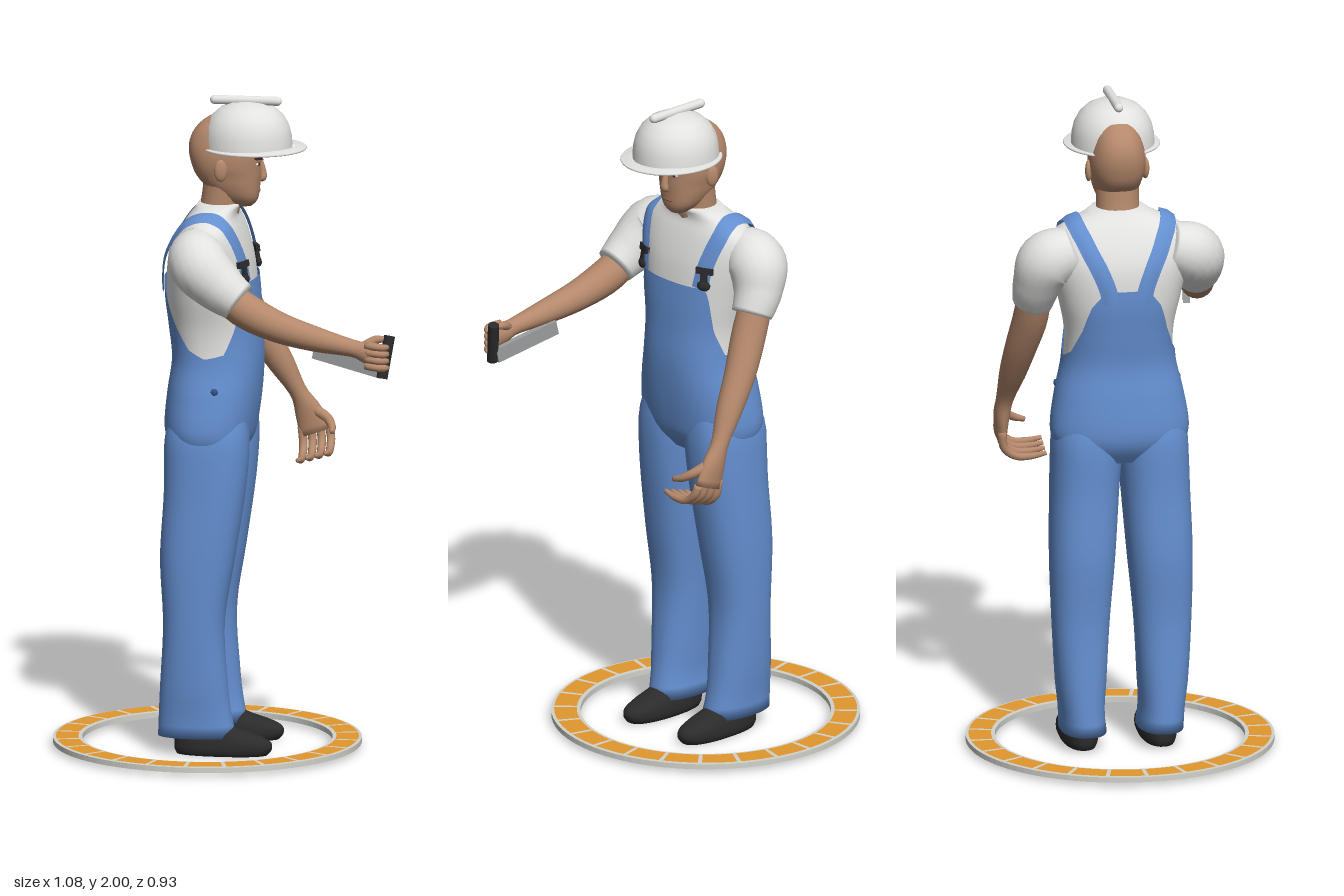
import * as THREE from 'three';

const V = (x, y, z) => new THREE.Vector3(x, y, z);
const material = (name, color, side = THREE.FrontSide) => {
  const m = new THREE.MeshStandardMaterial({ color, side });
  m.name = name;
  return m;
};

// Surface from f(u, v); u runs around (closed) or across (open), caps close both ends.
function grid(f, nu, nv, closed = true, caps = false) {
  const rows = [];
  const cols = closed ? nu : nu + 1;
  for (let j = 0; j <= nv; j++) {
    const row = [];
    for (let i = 0; i < cols; i++) row.push(f(i / nu, j / nv));
    rows.push(row);
  }
  if (caps) {
    const hub = (row) => {
      const c = row.reduce((s, p) => s.add(p), V(0, 0, 0)).divideScalar(cols);
      return row.map(() => c);
    };
    rows.unshift(hub(rows[0]));
    rows.push(hub(rows[rows.length - 1]));
  }
  const index = [];
  for (let j = 0; j < rows.length - 1; j++) {
    for (let i = 0; i < nu; i++) {
      const k = (i + 1) % cols;
      const a = j * cols + i, b = j * cols + k, c = a + cols, d = b + cols;
      index.push(a, c, b, b, c, d);
    }
  }
  const g = new THREE.BufferGeometry().setFromPoints(rows.flat());
  g.setIndex(index);
  g.computeVertexNormals();
  return g;
}

// Smooth lookup in a table whose first column is the key.
function lookup(rows, y) {
  let i = 0;
  while (i < rows.length - 2 && y > rows[i + 1][0]) i++;
  const slope = (k, n) => {
    const a = rows[Math.max(k - 1, 0)], b = rows[Math.min(k + 1, rows.length - 1)];
    return (b[n] - a[n]) / (b[0] - a[0]);
  };
  const p = rows[i], q = rows[i + 1], h = q[0] - p[0];
  const t = THREE.MathUtils.clamp((y - p[0]) / h, 0, 1), t2 = t * t, t3 = t2 * t;
  return p.slice(1).map((v, n) => (2 * t3 - 3 * t2 + 1) * v + (3 * t2 - 2 * t3) * q[n + 1]
    + h * ((t3 - 2 * t2 + t) * slope(i, n + 1) + (t3 - t2) * slope(i + 1, n + 1)));
}

// Point on a body of horizontal sections [y, back, front, zMin, zMax].
function onBody(rings, y, angle, grow = 0, power = 2.3) {
  const [x0, x1, z0, z1] = lookup(rings, y);
  const bend = (c) => Math.sign(c) * Math.abs(c) ** (2 / power);
  return V((x0 + x1) / 2 + ((x1 - x0) / 2 + grow) * bend(Math.cos(angle)), y,
    (z0 + z1) / 2 + ((z1 - z0) / 2 + grow) * bend(Math.sin(angle)));
}
function loft(rings, lo = rings[0][0], hi = rings[rings.length - 1][0], nv = 28) {
  return grid((u, v) => onBody(rings, lo + (hi - lo) * v, u * Math.PI * 2), 40, nv, true, true);
}

// Tapered limb through points [x, y, z, radius, secondRadius].
function limb(points, ref = V(1, 0, 0), nu = 20, nv = 20) {
  const path = new THREE.CatmullRomCurve3(points.map((p) => V(p[0], p[1], p[2])));
  const radii = new THREE.CatmullRomCurve3(points.map((p) => V(p[3], p[4] ?? p[3], 0)), false, 'catmullrom');
  return grid((u, v) => {
    const t = path.getTangent(v), r = radii.getPoint(v), a = u * Math.PI * 2;
    const side = t.clone().cross(ref).normalize(), up = side.clone().cross(t);
    return path.getPoint(v).addScaledVector(side, r.x * Math.cos(a)).addScaledVector(up, r.y * Math.sin(a));
  }, nu, nv, true, true);
}

const sym = (rows) => rows.map(([y, a, b, w]) => [y, a, b, -w, w]);
const TORSO = sym([[0.9, -0.15, 0.02, 0.165], [0.95, -0.183, 0.055, 0.194], [1.0, -0.193, 0.068, 0.203], [1.1, -0.185, 0.082, 0.188],
  [1.2, -0.172, 0.088, 0.166], [1.3, -0.182, 0.083, 0.165], [1.4, -0.193, 0.077, 0.185], [1.5, -0.19, 0.064, 0.207],
  [1.56, -0.172, 0.048, 0.215], [1.61, -0.145, 0.03, 0.198], [1.64, -0.125, 0.018, 0.15],
  [1.665, -0.105, 0.025, 0.092], [1.675, -0.1, 0.03, 0.08]]);
const HEAD = sym([[1.665, 0, 0.062, 0.025], [1.68, -0.03, 0.076, 0.044], [1.7, -0.05, 0.082, 0.058],
  [1.73, -0.085, 0.085, 0.07], [1.76, -0.11, 0.088, 0.077], [1.79, -0.122, 0.089, 0.084], [1.83, -0.13, 0.094, 0.085],
  [1.87, -0.126, 0.09, 0.077], [1.905, -0.106, 0.07, 0.064], [1.935, -0.07, 0.04, 0.04], [1.945, -0.04, 0.01, 0.02]]);
const LEG = [[0.055, -0.207, 0.03, 0.048, 0.187], [0.12, -0.204, 0.016, 0.055, 0.19], [0.2, -0.2, 0.006, 0.05, 0.2],
  [0.4, -0.19, -0.005, 0.038, 0.212], [0.6, -0.2, 0.025, 0.02, 0.217], [0.8, -0.19, 0.055, 0.005, 0.212],
  [0.92, -0.19, 0.066, -0.004, 0.208], [0.98, -0.187, 0.066, -0.004, 0.203], [1.06, -0.165, 0.058, 0.005, 0.175]];
const SHOE = [[0, -0.15, 0.125, 0.07, 0.17], [0.015, -0.157, 0.138, 0.064, 0.176], [0.04, -0.157, 0.134, 0.065, 0.175],
  [0.06, -0.155, 0.092, 0.07, 0.17], [0.08, -0.15, 0.03, 0.075, 0.165], [0.12, -0.15, -0.01, 0.08, 0.16]];
// Upper edge of the overalls by angle from the chest, in degrees.
const EDGE = [[0, 1.45], [38, 1.45], [44, 1.42], [58, 1.31], [75, 1.235], [95, 1.22], [115, 1.245],
  [135, 1.32], [150, 1.4], [165, 1.45], [180, 1.45]];
// Strap centre line as [height, angle].
const STRAP = [[1.45, 33], [1.53, 35], [1.59, 42], [1.625, 56], [1.643, 85], [1.637, 118], [1.61, 143], [1.55, 156], [1.47, 165], [1.41, 168]];

export function createModel() {
  const model = new THREE.Group();
  const skin = material('skin', 0xb4886b), white = material('white', 0xe2e3e1, THREE.DoubleSide);
  const denim = material('overall blue', 0x648fd0, THREE.DoubleSide), navy = material('button blue', 0x34568a);
  const black = material('black', 0x2b2b2c), brown = material('brow brown', 0x3d2b22), lip = material('lip', 0x94624f);
  const orange = material('tile orange', 0xe2982f), pale = material('light grey', 0xd3d3cd), grey = material('tool grey', 0x9c9d9e);

  const add = (name, geometry, mat, parent = model) => {
    const mesh = new THREE.Mesh(geometry, mat);
    mesh.name = name;
    parent.add(mesh);
    return mesh;
  };
  const place = (mesh, x, y, z, sx = 1, sy = 1, sz = 1) => {
    mesh.position.set(x, y, z);
    mesh.scale.set(sx, sy, sz);
    return mesh;
  };
  const ball = new THREE.SphereGeometry(1, 20, 14);

  // Floor ring with 24 tiles
  const ring = new THREE.Group();
  ring.name = 'floorRing';
  ring.position.x = -0.075;
  model.add(ring);
  const outline = new THREE.Shape().absarc(0, 0, 0.465, 0, Math.PI * 2);
  outline.holes.push(new THREE.Path().absarc(0, 0, 0.377, 0, Math.PI * 2, true));
  const flat = (g, y) => g.rotateX(-Math.PI / 2).translate(0, y, 0);
  add('ringBase', flat(new THREE.ExtrudeGeometry(outline, { depth: 0.016, bevelEnabled: false, curveSegments: 48 }), 0.011), pale, ring);
  for (let i = 0; i < 24; i++) {
    const step = Math.PI / 12;
    add('ringTile', flat(new THREE.RingGeometry(0.388, 0.456, 5, 1, i * step + 0.014, step - 0.028), 0.029), orange, ring);
  }

  // Legs and shoes
  for (const [side, s] of [['right', 1], ['left', -1]]) {
    const mirror = (rings) => rings.map(([y, a, b, c, d]) => (s > 0 ? [y, a, b, c, d] : [y, a, b, -d, -c]));
    add(side + 'TrouserLeg', loft(mirror(LEG)), denim);
    add(side + 'Shoe', loft(mirror(SHOE), 0, 0.12, 16), black);
  }

  // Shirt and overalls
  add('shirt', loft(TORSO, 1.1, 1.675, 40), white);
  const edge = (a) => {
    const d = THREE.MathUtils.radToDeg(Math.min(a, Math.PI * 2 - a));
    const i = Math.max(1, EDGE.findIndex((e) => e[0] >= d - 1e-6));
    const [p, q] = [EDGE[i - 1], EDGE[i]];
    return p[1] + (q[1] - p[1]) * (d - p[0]) / (q[0] - p[0]);
  };
  add('overalls', grid((u, v) => {
    const a = u * Math.PI * 2;
    return onBody(TORSO, 0.9 + (edge(a) - 0.9) * v, a, 0.007);
  }, 120, 36), denim);

  // Straps, buckles and side buttons
  for (const [side, s] of [['right', 1], ['left', -1]]) {
    const track = new THREE.CatmullRomCurve3(STRAP.map(([y, d]) => V(y, s * THREE.MathUtils.degToRad(d), 0)), false, 'catmullrom');
    const at = (v) => { const p = track.getPoint(v); return onBody(TORSO, p.x, p.y); };
    add(side + 'Strap', grid((u, v) => {
      const p = track.getPoint(v), e = 0.003;
      const up = onBody(TORSO, p.x + e, p.y).sub(onBody(TORSO, p.x - e, p.y));
      const around = onBody(TORSO, p.x, p.y + e).sub(onBody(TORSO, p.x, p.y - e));
      const normal = up.cross(around).normalize();
      const along = at(Math.min(v + 0.02, 1)).sub(at(Math.max(v - 0.02, 0))).normalize();
      const across = along.cross(normal).normalize();
      return at(v).addScaledVector(normal, 0.014 - 0.005 * Math.abs(2 * u - 1)).addScaledVector(across, (u - 0.5) * 0.052);
    }, 4, 48, false), denim);
    const buckle = new THREE.Group();
    buckle.name = side + 'Buckle';
    buckle.position.copy(onBody(TORSO, 1.49, s * 0.61, 0.012));
    buckle.rotation.set(0, -s * 0.4, 0.15);
    model.add(buckle);
    place(add('buckleClip', new THREE.BoxGeometry(0.012, 0.02, 0.054), black, buckle), 0, 0.02, 0);
    place(add('buckleStem', new THREE.BoxGeometry(0.012, 0.05, 0.022), black, buckle), 0, -0.003, 0);
    place(add('buckleButton', ball, black, buckle), 0, -0.026, 0, 0.01, 0.016, 0.022);
    const b = onBody(TORSO, 1.125, s * 1.45, 0.007);
    place(add(side + 'SideButton', ball, navy), b.x, b.y, b.z, 0.011, 0.011, 0.006);
  }

  // Right arm, reaching forward
  add('rightSleeve', limb([[-0.085, 1.555, 0.14, 0.074], [-0.07, 1.525, 0.22, 0.091], [-0.005, 1.465, 0.248, 0.078],
    [0.06, 1.418, 0.257, 0.062]]), white);
  add('rightArm', limb([[0, 1.45, 0.25, 0.05], [0.08, 1.395, 0.263, 0.054], [0.18, 1.352, 0.282, 0.047], [0.3, 1.322, 0.302, 0.038],
    [0.42, 1.3, 0.318, 0.026], [0.46, 1.29, 0.322, 0.034, 0.026], [0.5, 1.282, 0.325, 0.036, 0.02]], V(0, 0, 1)), skin);
  for (let i = 0; i < 4; i++) {
    const y = 1.315 - i * 0.021;
    add('rightFinger', limb([[0.455, y, 0.336, 0.011], [0.49, y - 0.003, 0.343, 0.012], [0.511, y - 0.006, 0.334, 0.011],
      [0.52, y - 0.007, 0.32, 0.008]], V(0, 1, 0), 10, 10), skin);
  }
  add('rightThumb', limb([[0.45, 1.31, 0.31, 0.013], [0.48, 1.325, 0.298, 0.013], [0.508, 1.328, 0.296, 0.009]], V(0, 0, 1), 10, 10), skin);

  // Hand tool
  const handle = add('toolHandle', new THREE.CylinderGeometry(0.017, 0.017, 0.13, 16), black);
  handle.position.set(0.513, 1.275, 0.307);
  handle.rotation.set(-0.2, 0, -0.15);
  const bar = add('toolBar', new THREE.BoxGeometry(0.22, 0.045, 0.02), grey);
  bar.position.set(0.396, 1.256, 0.288);
  bar.rotation.set(0, -0.17, -0.22);

  // Left arm, hanging with a curled hand
  add('leftSleeve', limb([[-0.085, 1.555, -0.14, 0.074], [-0.08, 1.525, -0.22, 0.091], [-0.057, 1.45, -0.25, 0.075],
    [-0.025, 1.385, -0.258, 0.062]]), white);
  add('leftArm', limb([[-0.05, 1.43, -0.255, 0.05], [-0.01, 1.33, -0.262, 0.053], [0.045, 1.22, -0.282, 0.048], [0.105, 1.12, -0.297, 0.04],
    [0.155, 1.03, -0.31, 0.027], [0.185, 0.97, -0.315, 0.024, 0.042], [0.208, 0.905, -0.315, 0.018, 0.05]]), skin);
  for (let i = 0; i < 4; i++) {
    const x = 0.165 + i * 0.028, y = 0.008 * i;
    add('leftFinger', limb([[x, 0.92, -0.317, 0.013], [x + 0.006, 0.868 + y, -0.309, 0.013], [x + 0.008, 0.84 + y, -0.275, 0.012],
      [x + 0.01, 0.836 + y, -0.23, 0.011], [x + 0.008, 0.845 + y, -0.18, 0.007]], V(1, 0, 0), 10, 14), skin);
  }
  add('leftThumb', limb([[0.205, 0.975, -0.312, 0.017], [0.245, 0.955, -0.295, 0.015], [0.265, 0.935, -0.262, 0.012],
    [0.27, 0.925, -0.23, 0.008]], V(0, 1, 0), 10, 12), skin);

  // Head
  add('neck', limb([[-0.05, 1.6, 0, 0.07, 0.062], [-0.035, 1.67, 0, 0.066, 0.06], [-0.025, 1.75, 0, 0.066, 0.06]]), skin);
  add('head', loft(HEAD), skin);
  add('nose', limb([[0.083, 1.81, 0, 0.009], [0.093, 1.77, 0, 0.011], [0.094, 1.752, 0, 0.014, 0.011], [0.086, 1.744, 0, 0.011, 0.008]]), skin);
  place(add('mouth', ball, lip), 0.08, 1.711, 0, 0.006, 0.005, 0.022);
  for (const s of [1, -1]) {
    place(add('ear', ball, skin), -0.022, 1.785, s * 0.086, 0.02, 0.034, 0.011).rotation.y = s * 0.3;
    place(add('eye', ball, white), 0.082, 1.798, s * 0.034, 0.006, 0.0045, 0.012).rotation.y = -s * 0.3;
    place(add('pupil', ball, brown), 0.086, 1.798, s * 0.033, 0.004, 0.005, 0.006);
    const brow = place(add('eyebrow', new THREE.BoxGeometry(0.009, 0.007, 0.036), brown), 0.086, 1.815, s * 0.036);
    brow.rotation.set(-s * 0.15, -s * 0.32, 0);
  }

  // Hard hat
  const lathe = (pts) => new THREE.LatheGeometry(pts.map((p) => new THREE.Vector2(...p)), 48);
  place(add('helmetDome', lathe([[0.126, 0], [0.124, 0.035], [0.117, 0.066], [0.102, 0.095], [0.078, 0.119], [0.045, 0.135], [0, 0.141]]), white),
    0.048, 1.845, 0, 1.07, 1, 1);
  place(add('helmetBrim', lathe([[0.114, -0.002], [0.144, -0.005], [0.146, -0.002], [0.144, 0.001], [0.114, 0.006]]), white),
    0.066, 1.846, 0, 1.1, 1, 1);
  place(add('helmetRidge', new THREE.CapsuleGeometry(0.014, 0.19, 6, 14).rotateZ(Math.PI / 2), white), 0.042, 1.986, 0);

  return model;
}
